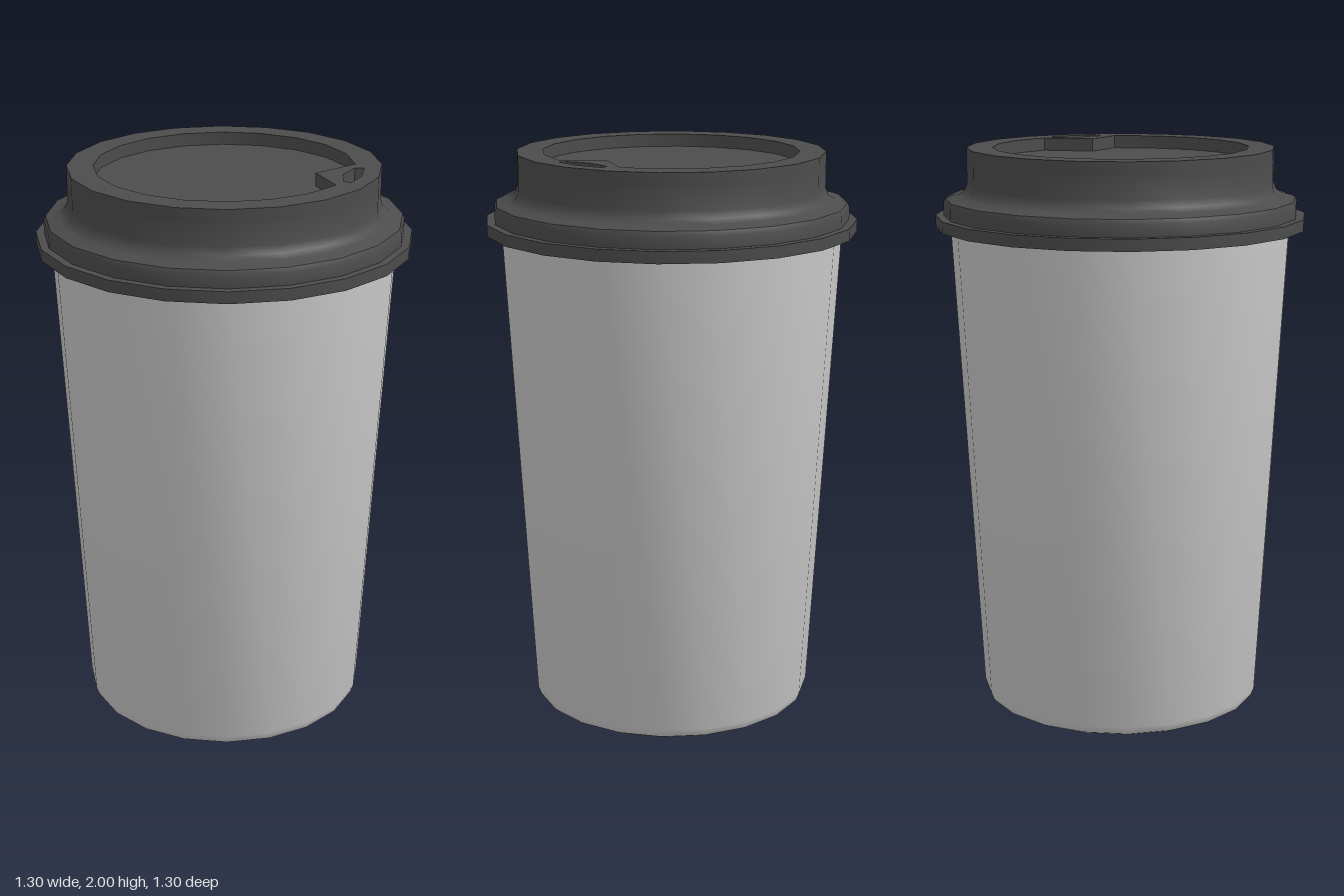
import * as THREE from 'three';
import { toCreasedNormals } from 'three/addons/utils/BufferGeometryUtils.js';

const SIDES = 20;
const TOP = 2;
const FLOOR = 1.955;

const grey = new THREE.MeshStandardMaterial({ color: 0xcccccc });
const dark = new THREE.MeshStandardMaterial({ color: 0x4c4c4c });

const points = (list) => list.map(([x, y]) => new THREE.Vector2(x, y));

function mesh(name, geometry, material) {
  const m = new THREE.Mesh(toCreasedNormals(geometry, 0.7), material);
  m.name = name;
  return m;
}

const lathe = (profile) => new THREE.LatheGeometry(points(profile), SIDES);

// Regular outline in plan; plan y points to the back (-z)
function ring(radius) {
  return Array.from({ length: SIDES }, (_, i) => {
    const a = (i / SIDES) * Math.PI * 2;
    return new THREE.Vector2(radius * Math.cos(a), radius * Math.sin(a));
  });
}

// Lay a plan geometry flat at a height
const lay = (geometry, y) => geometry.rotateX(-Math.PI / 2).translate(0, y, 0);

export function createModel() {
  const group = new THREE.Group();
  group.name = 'takeawayCup';

  // Tapered cup with a rounded foot and an inner wall
  group.add(mesh('cup', lathe([
    [0, 0], [0.46, 0], [0.475, 0.002], [0.494, 0.013], [0.504, 0.04],
    [0.599, 1.745], [0.575, 1.745], [0.482, 0.05], [0, 0.05],
  ]), grey));

  // Lid: brim, snap ring, concave shoulder and upright wall
  const lid = new THREE.Group();
  lid.name = 'lid';
  lid.add(mesh('lidBody', lathe([
    [0.585, 1.725], [0.65, 1.725], [0.65, 1.766], [0.622, 1.766], [0.622, 1.808],
    [0.615, 1.824], [0.598, 1.83], [0.57, 1.836], [0.548, 1.85], [0.538, 1.875],
    [0.538, FLOOR],
  ]), dark));

  // Recess outline, with one corner pushed in to leave the spout platform
  const recess = ring(0.447);
  recess[2].set(0.27, 0.18);
  const spout = points([
    [0.32, 0.352], [0.3, 0.327], [0.34, 0.24], [0.405, 0.188], [0.432, 0.196], [0.392, 0.278],
  ]);

  // Raised rim with the recess and drinking hole cut out
  const rim = new THREE.Shape(ring(0.538));
  rim.holes.push(new THREE.Path(recess), new THREE.Path(spout));
  const rimGeometry = new THREE.ExtrudeGeometry(rim, { depth: TOP - FLOOR, bevelEnabled: false });
  lid.add(mesh('lidRim', lay(rimGeometry, FLOOR), dark));

  // Sunken panel and the pale surface at the bottom of the drinking hole
  lid.add(mesh('lidPanel', lay(new THREE.ShapeGeometry(new THREE.Shape(recess)), FLOOR), dark));
  lid.add(mesh('drinkingHole', lay(new THREE.ShapeGeometry(new THREE.Shape(spout)), FLOOR), grey));
  group.add(lid);

  return group;
}
